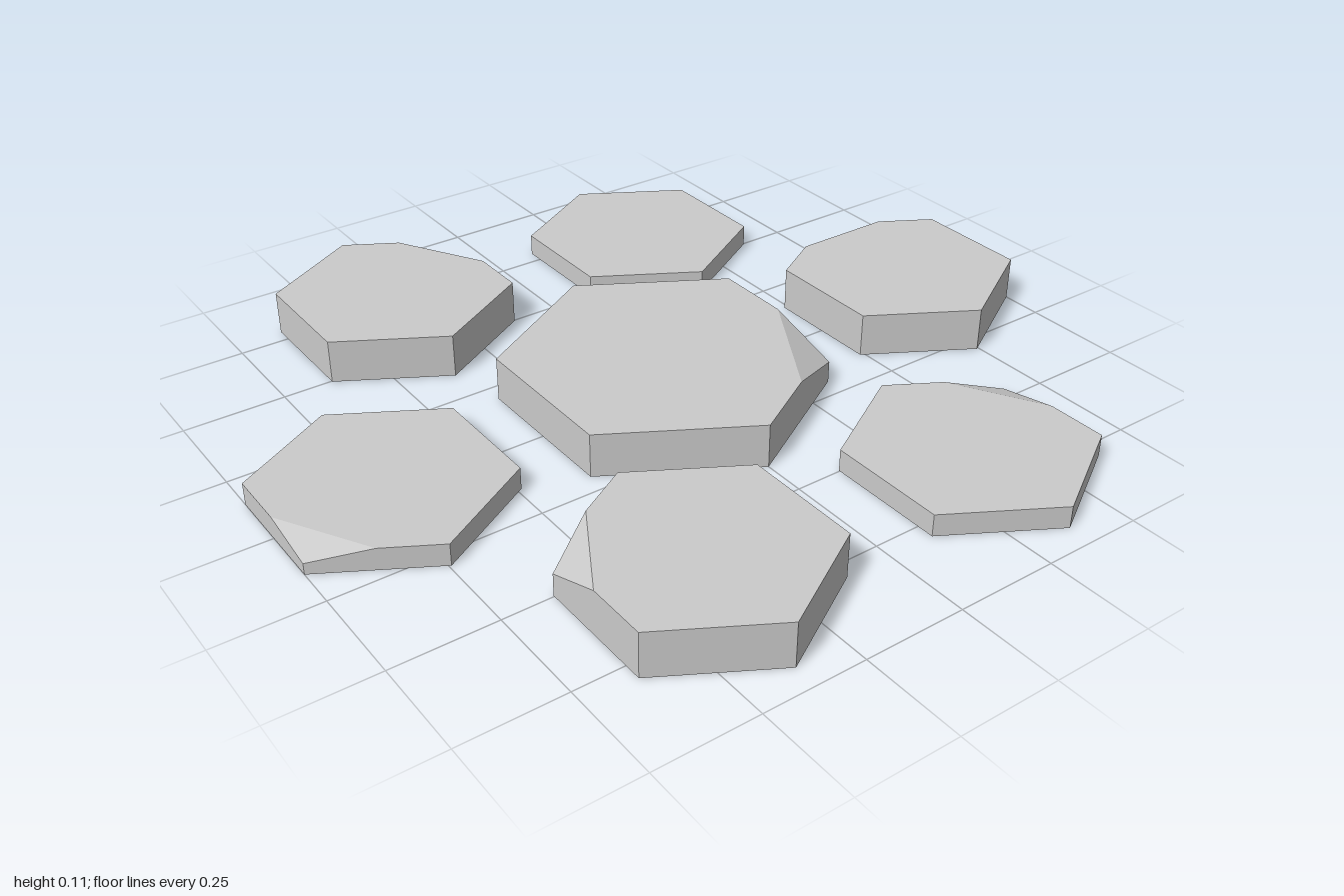
import * as THREE from 'three';
import { ConvexGeometry } from 'three/addons/geometries/ConvexGeometry.js';

const HIGH = 0.11, LOW = 0.055;
const material = new THREE.MeshStandardMaterial({ color: 0xcccccc, flatShading: true });

// Hexagonal slab with a point towards +z and -z; one top corner may be chipped
// down to half height, the cut starting midway along the two adjoining edges.
function hexTile(name, radius, height, chippedCorner = null) {
  const corner = (k, y) => {
    const a = Math.PI / 6 + (k * Math.PI) / 3;
    return new THREE.Vector3(radius * Math.cos(a), y, radius * Math.sin(a));
  };
  const points = [];
  for (let k = 0; k < 6; k++) {
    points.push(corner(k, 0));
    if (k === chippedCorner) {
      points.push(corner(k, height / 2));
      for (const side of [-1, 1]) {
        points.push(corner(k, height).lerp(corner(k + side, height), 0.5));
      }
    } else {
      points.push(corner(k, height));
    }
  }
  const mesh = new THREE.Mesh(new ConvexGeometry(points), material);
  mesh.name = name;
  return mesh;
}

export function createModel() {
  const group = new THREE.Group();
  group.name = 'hexTiles';

  // Large middle tile
  group.add(hexTile('centreTile', 0.395, HIGH, 0));

  // Ring of six smaller tiles, alternating high and low
  const ring = [
    ['leftTile', 4],
    ['frontLeftTile', 5],
    ['frontRightTile', 3],
    ['rightTile', 2],
    ['backRightTile', 5],
    ['backLeftTile', null],
  ];
  const ringRadius = 0.7445;
  ring.forEach(([name, chip], i) => {
    const tile = hexTile(name, 0.295, i % 2 ? LOW : HIGH, chip);
    const a = (i * Math.PI) / 3;
    tile.position.set(ringRadius * Math.cos(a), 0, ringRadius * Math.sin(a));
    group.add(tile);
  });
  return group;
}
